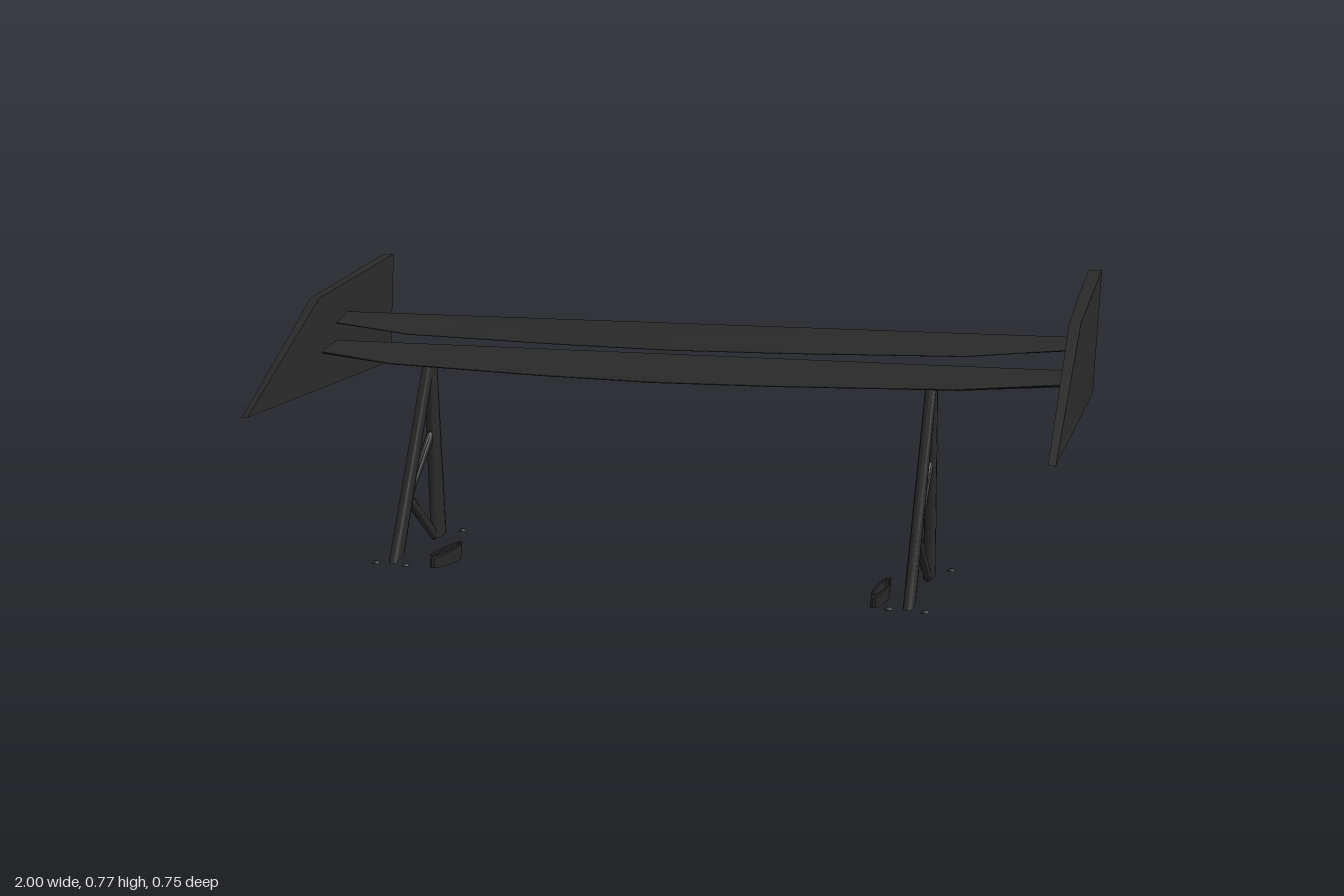
import * as THREE from 'three';
import { toCreasedNormals } from 'three/addons/utils/BufferGeometryUtils.js';

const V = (x, y, z) => new THREE.Vector3(x, y, z);
const black = new THREE.MeshStandardMaterial({ color: 0x2a2a2a, side: THREE.DoubleSide });
black.name = 'carbonBlack';

// Skin closed loops of points into a surface; caps close both ends.
function loft(sections, caps = true, crease = 0.7) {
  const tris = [];
  for (let i = 0; i < sections.length - 1; i++) {
    const a = sections[i], b = sections[i + 1], n = a.length;
    for (let j = 0; j < n; j++) {
      const k = (j + 1) % n;
      tris.push([a[j], a[k], b[k]], [a[j], b[k], b[j]]);
    }
  }
  if (caps) {
    const a = sections[0], b = sections[sections.length - 1];
    for (let j = 1; j < a.length - 1; j++) {
      tris.push([a[0], a[j + 1], a[j]], [b[0], b[j], b[j + 1]]);
    }
  }
  // Face outward whatever the direction of the loops.
  const mid = sections.flat().reduce((s, p) => s.add(p), V(0, 0, 0)).divideScalar(sections.flat().length);
  let volume = 0;
  for (const [p, q, r] of tris) {
    volume += p.clone().sub(mid).dot(q.clone().sub(mid).cross(r.clone().sub(mid)));
  }
  const pos = [];
  for (const [p, q, r] of tris) {
    for (const v of volume < 0 ? [p, r, q] : [p, q, r]) pos.push(v.x, v.y, v.z);
  }
  const g = new THREE.BufferGeometry();
  g.setAttribute('position', new THREE.Float32BufferAttribute(pos, 3));
  return toCreasedNormals(g, crease);
}

function add(parent, name, geometry) {
  const m = new THREE.Mesh(geometry, black);
  m.name = name;
  parent.add(m);
  return m;
}

// Thin cambered section between leading edge and trailing edge.
function airfoil(x, [lz, ly], [tz, ty], thick, camber) {
  const top = [], bottom = [], n = 8;
  for (let i = 0; i <= n; i++) {
    const t = i / n;
    const z = lz + (tz - lz) * t;
    const y = ly + (ty - ly) * t - camber * 4 * t * (1 - t);
    const h = thick * (1.6 * Math.sqrt(t) * (1 - t) + 0.1);
    top.push(V(x, y + h / 2, z));
    bottom.unshift(V(x, y - h / 2, z));
  }
  return [...top, ...bottom];
}

function wing(stations, trailing, thick, camber) {
  const mirrored = [...stations.slice(1).reverse().map(([x, z, y]) => [-x, z, y]), ...stations];
  return loft(mirrored.map(([x, z, y]) => airfoil(x, [z, y], trailing, thick, camber)));
}

// Flattened oval bar; each end is given by its front and rear edge as [z, y].
function bar(ends, halfWidth) {
  return loft(ends.map(([f, r]) => {
    const loop = [];
    for (let i = 0; i < 12; i++) {
      const a = (i / 12) * Math.PI * 2, t = (1 - Math.cos(a)) / 2;
      const s = Math.sin(a), w = Math.sign(s) * Math.pow(Math.abs(s), 0.6);
      loop.push(V(w * halfWidth, f[1] + (r[1] - f[1]) * t, f[0] + (r[0] - f[0]) * t));
    }
    return loop;
  }), true, 0.9);
}

// Support with two legs, two diagonal braces and four bolts.
function support(x) {
  const g = new THREE.Group();
  g.name = 'support';
  g.position.x = x;
  add(g, 'frontLeg', bar([[[0.215, 0.03], [0.154, 0.05]], [[0.008, 0.515], [-0.034, 0.525]]], 0.013));
  add(g, 'rearLeg', bar([[[-0.014, 0.047], [-0.08, 0.052]], [[0.003, 0.525], [-0.045, 0.535]]], 0.013));
  add(g, 'upperBrace', bar([[[0.092, 0.222], [0.1, 0.185]], [[-0.008, 0.34], [-0.008, 0.3]]], 0.009));
  add(g, 'lowerBrace', bar([[[0.1, 0.188], [0.114, 0.162]], [[-0.02, 0.075], [-0.02, 0.042]]], 0.009));
  for (const side of [-1, 1]) {
    for (const [y, z] of [[0.03, 0.216], [0.052, -0.104]]) {
      const dome = new THREE.SphereGeometry(0.01, 10, 4, 0, Math.PI * 2, 0, Math.PI / 2);
      dome.scale(1, 0.7, 1);
      add(g, 'bolt', dome).position.set(side * 0.042, y, z);
    }
  }
  return g;
}

// Narrow open loop of thin wall below each support, with a rim strip above.
function bracket(x) {
  const g = new THREE.Group();
  g.name = 'mountBracket';
  g.position.x = x;
  const wall = (bottom, top) => {
    const path = [];
    for (let i = 0; i < 20; i++) {
      const a = (i / 20) * Math.PI * 2;
      path.push([Math.sign(Math.sin(a)) * 0.012 * Math.pow(Math.abs(Math.sin(a)), 0.6), 0.073 + 0.082 * Math.cos(a)]);
    }
    return loft([bottom, top].map(f => path.map(([px, z]) => V(px + (f(z) - 0.025) * 0.1, f(z), z))), false);
  };
  const t = z => (z + 0.01) / 0.165;
  add(g, 'bracketWall', wall(z => 0.002 + 0.011 * t(z) ** 2, z => 0.042 - 0.004 * t(z)));
  add(g, 'bracketRim', wall(z => 0.043, z => 0.048));
  return g;
}

// Flared side plate: corners as [outer x, inner x, y, z].
function endPlate(shift) {
  const corners = [
    [-0.979, -0.963, 0.413, 0.375],
    [-0.986, -0.96, 0.68, 0.027],
    [-0.99, -0.957, 0.773, -0.373],
    [-1.0, -0.966, 0.469, -0.357],
  ];
  return loft([0, 1].map(s => corners.map(c => V(c[s] + shift, c[2], c[3]))));
}

export function createModel() {
  const model = new THREE.Group();
  model.name = 'rearWing';

  // Wing elements: half-span stations as [x, leading z, leading y]
  add(model, 'mainWing', wing(
    [[0, 0.1, 0.509], [0.3, 0.093, 0.512], [0.73, 0.078, 0.522], [0.968, 0.02, 0.537]],
    [-0.055, 0.56], 0.02, 0.006));
  add(model, 'upperFlap', wing(
    [[0, -0.013, 0.575], [0.3, -0.018, 0.578], [0.73, -0.026, 0.587], [0.968, -0.056, 0.608]],
    [-0.115, 0.632], 0.014, 0.004));

  // Side plates
  add(model, 'rightEndPlate', endPlate(0));
  add(model, 'leftEndPlate', endPlate(1.957));

  // Supports and brackets
  model.add(support(-0.664), support(0.655));
  model.add(bracket(-0.581), bracket(0.563));
  return model;
}
